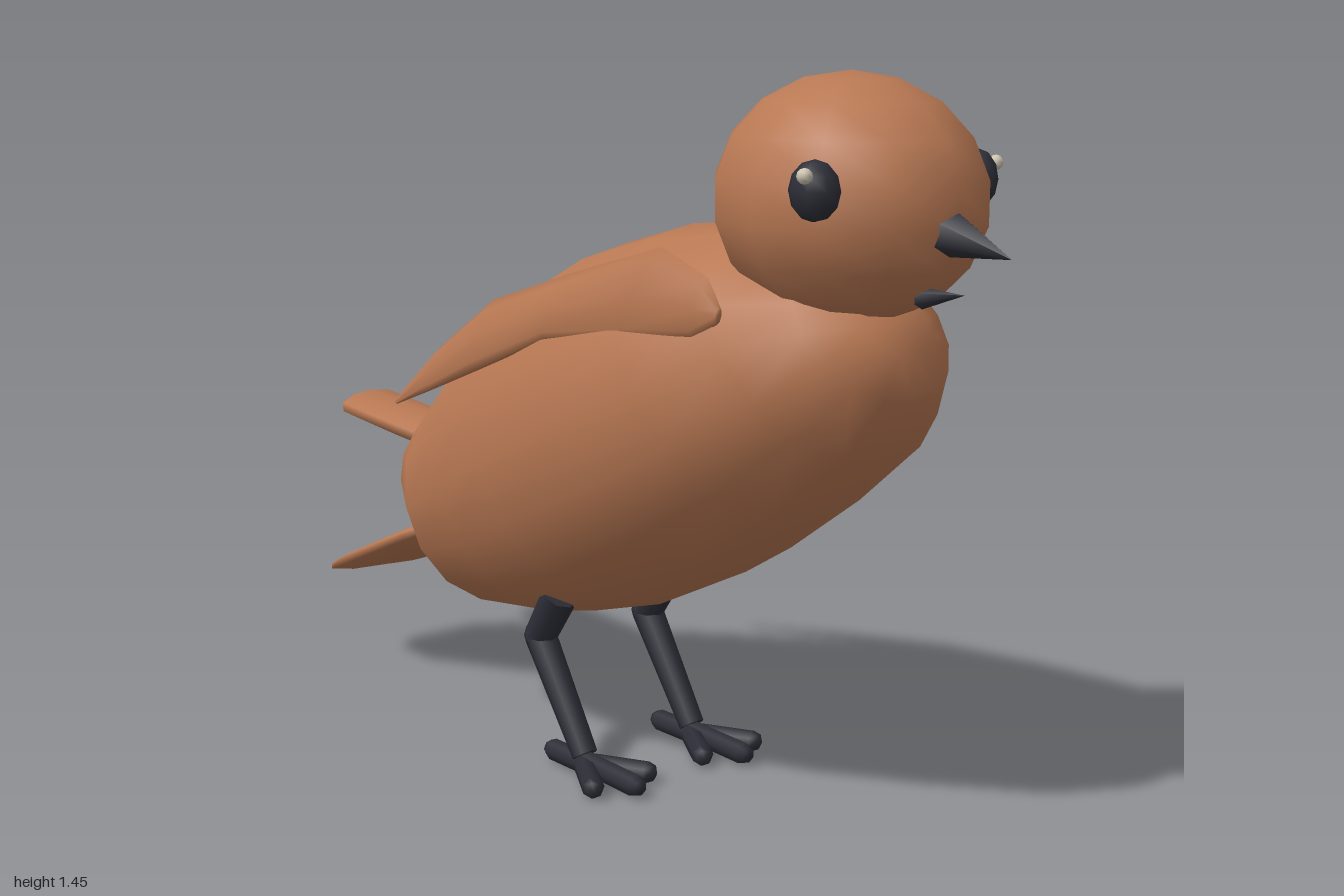
import * as THREE from 'three';

const brown = new THREE.MeshStandardMaterial({ name: 'plumage brown', color: 0xb87853 });
const black = new THREE.MeshStandardMaterial({ name: 'charcoal black', color: 0x2c2d36 });
const cream = new THREE.MeshStandardMaterial({ name: 'eye glint cream', color: 0xcdc3b0 });

const V = (x, y, z) => new THREE.Vector3(x, y, z);

function mesh(name, geometry, material) {
  const m = new THREE.Mesh(geometry, material);
  m.name = name;
  return m;
}

// Closed skin over oval sections listed from back to front: [top, bottom, half width]
function loft(sections, sides) {
  const pos = [], index = [];
  for (const [top, bottom, w] of sections) {
    const mid = top.clone().add(bottom).multiplyScalar(0.5);
    const half = top.clone().sub(mid);
    for (let j = 0; j < sides; j++) {
      const a = (j / sides) * Math.PI * 2;
      const p = mid.clone().addScaledVector(half, Math.cos(a));
      pos.push(p.x + w * Math.sin(a), p.y, p.z);
    }
  }
  for (let i = 0; i < sections.length - 1; i++) {
    for (let j = 0; j < sides; j++) {
      const a = i * sides + j, b = i * sides + (j + 1) % sides;
      const c = a + sides, d = b + sides;
      index.push(a, c, d, a, d, b);
    }
  }
  // End caps fan out from the middle of the first and last section
  [0, sections.length - 1].forEach((s, end) => {
    const m = sections[s][0].clone().add(sections[s][1]).multiplyScalar(0.5);
    const centre = pos.length / 3;
    pos.push(m.x, m.y, m.z);
    for (let j = 0; j < sides; j++) {
      const a = s * sides + j, b = s * sides + (j + 1) % sides;
      if (end) index.push(centre, b, a);
      else index.push(centre, a, b);
    }
  });
  const g = new THREE.BufferGeometry();
  g.setAttribute('position', new THREE.Float32BufferAttribute(pos, 3));
  g.setIndex(index);
  g.computeVertexNormals();
  return g;
}

// Tapered limb or cone between two points
function limb(name, from, to, r0, r1, sides = 8) {
  const dir = to.clone().sub(from);
  const m = mesh(name, new THREE.CylinderGeometry(r1, r0, dir.length(), sides), black);
  m.position.copy(from).add(to).multiplyScalar(0.5);
  m.quaternion.setFromUnitVectors(V(0, 1, 0), dir.normalize());
  return m;
}

// Toe with rounded ends
function toe(name, from, to) {
  const dir = to.clone().sub(from), r = 0.023;
  const m = mesh(name, new THREE.CapsuleGeometry(r, dir.length() - r, 2, 7), black);
  m.position.copy(from).add(to).multiplyScalar(0.5);
  m.quaternion.setFromUnitVectors(V(0, 1, 0), dir.normalize());
  return m;
}

function ball(name, r, x, y, z, material) {
  const m = mesh(name, new THREE.SphereGeometry(r, 8, 6), material);
  m.position.set(x, y, z);
  return m;
}

export function createModel() {
  const bird = new THREE.Group();
  bird.name = 'bird';

  // Body: top z, top y, bottom z, bottom y, half width
  const body = [
    [-0.645, 0.58, -0.635, 0.47, 0.08],
    [-0.62, 0.66, -0.58, 0.37, 0.17],
    [-0.53, 0.73, -0.40, 0.25, 0.245],
    [-0.38, 0.86, -0.12, 0.29, 0.31],
    [-0.20, 0.99, 0.10, 0.355, 0.35],
    [0.00, 1.09, 0.36, 0.48, 0.345],
    [0.20, 1.145, 0.56, 0.62, 0.31],
    [0.40, 1.165, 0.73, 0.76, 0.255],
    [0.58, 1.13, 0.79, 0.88, 0.17],
    [0.70, 1.07, 0.785, 0.96, 0.08],
  ].map(([tz, ty, bz, by, w]) => [V(0, ty, tz), V(0, by, bz), w]);
  bird.add(mesh('body', loft(body, 16), brown));

  // Head
  const head = mesh('head', new THREE.SphereGeometry(1, 12, 9), brown);
  head.scale.set(0.237, 0.226, 0.265);
  head.position.set(0, 1.224, 0.62);
  bird.add(head);

  // Beak
  bird.add(limb('upperBeak', V(0, 1.185, 0.85), V(0, 1.15, 1.0), 0.046, 0, 6));
  bird.add(limb('lowerBeak', V(0, 1.065, 0.80), V(0, 1.08, 0.9), 0.02, 0, 6));

  // Tail: upper plume and lower fan; z, y, half thickness, half width
  const plank = (rows) => loft(rows.map(([z, y, t, w]) => [V(0, y + t, z), V(0, y - t, z), w]), 10);
  bird.add(mesh('upperTail', plank([
    [-1.0, 0.612, 0.014, 0.05],
    [-0.985, 0.612, 0.033, 0.085],
    [-0.8, 0.597, 0.034, 0.085],
    [-0.55, 0.58, 0.034, 0.085],
  ]), brown));
  bird.add(mesh('lowerTail', plank([
    [-0.98, 0.215, 0.008, 0.09],
    [-0.93, 0.243, 0.022, 0.165],
    [-0.82, 0.286, 0.033, 0.203],
    [-0.62, 0.378, 0.033, 0.165],
    [-0.5, 0.43, 0.03, 0.13],
  ]), brown));

  for (const s of [1, -1]) {
    const side = s > 0 ? 'left' : 'right';

    // Wing: top x, y, z, bottom x, y, z, half thickness
    const wing = [
      [0.215, 0.72, -0.53, 0.22, 0.705, -0.53, 0.008],
      [0.243, 0.855, -0.33, 0.262, 0.77, -0.33, 0.018],
      [0.262, 0.985, -0.105, 0.298, 0.85, -0.10, 0.024],
      [0.258, 1.065, 0.15, 0.292, 0.93, 0.10, 0.024],
      [0.245, 1.135, 0.395, 0.275, 0.955, 0.32, 0.024],
      [0.235, 1.09, 0.51, 0.255, 0.98, 0.49, 0.018],
      [0.235, 1.04, 0.54, 0.24, 1.01, 0.54, 0.008],
    ].map(([tx, ty, tz, bx, by, bz, w]) => [V(s * tx, ty, tz), V(s * bx, by, bz), w]);
    bird.add(mesh(side + 'Wing', loft(wing, 8), brown));

    // Eye
    const eye = ball(side + 'Eye', 0.05, s * 0.202, 1.257, 0.74, black);
    eye.scale.set(0.75, 1.06, 0.95);
    eye.rotation.y = -s * 0.45;
    bird.add(eye, ball(side + 'EyeGlint', 0.014, s * 0.237, 1.284, 0.752, cream));

    // Leg and foot
    const leg = new THREE.Group();
    leg.name = side + 'Leg';
    const x = s * 0.145;
    const knee = V(x, 0.265, -0.115), ankle = V(x, 0.045, 0.035);
    leg.add(
      limb('thigh', V(x, 0.37, -0.045), knee, 0.038, 0.034),
      ball('knee', 0.035, knee.x, knee.y, knee.z, black),
      limb('shin', knee, ankle, 0.034, 0.027),
      toe('backToe', V(x, 0.027, 0.06), V(x, 0.027, -0.08)),
      toe('middleToe', V(x, 0.032, 0.02), V(x, 0.027, 0.21)),
      toe('outerToe', V(x, 0.027, 0.03), V(x + s * 0.075, 0.025, 0.16)),
      toe('innerToe', V(x, 0.027, 0.03), V(x - s * 0.075, 0.025, 0.16)),
    );
    bird.add(leg);
  }
  return bird;
}
